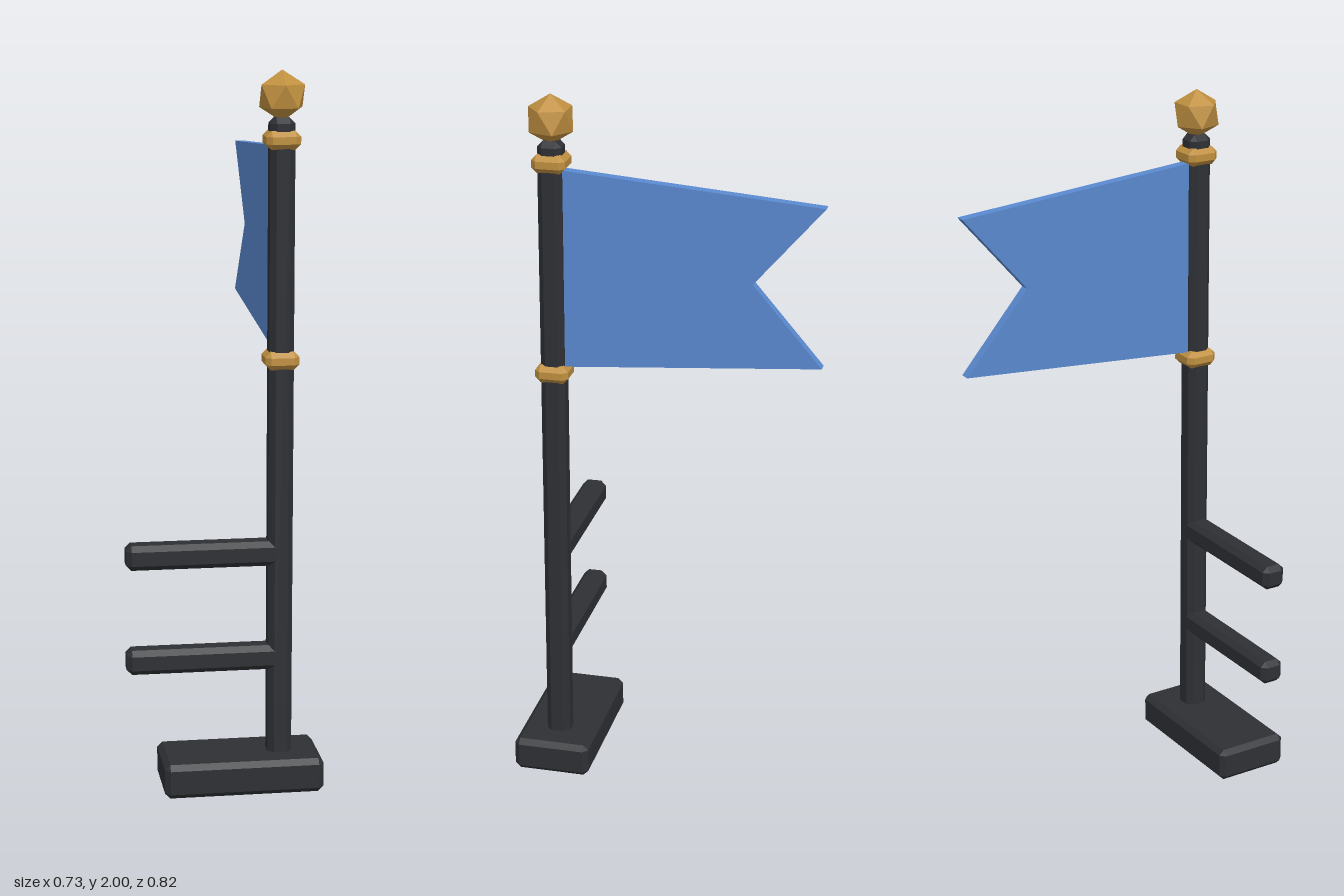
import * as THREE from 'three';
import { ConvexGeometry } from 'three/addons/geometries/ConvexGeometry.js';

const material = (color) => new THREE.MeshStandardMaterial({ color, flatShading: true });

// Box with every edge and corner chamfered by c
function chamferBox(w, h, d, c) {
  const points = [];
  for (const sx of [-1, 1]) for (const sy of [-1, 1]) for (const sz of [-1, 1]) {
    for (const [a, b, e] of [[0, c, c], [c, 0, c], [c, c, 0]]) {
      points.push(new THREE.Vector3(sx * (w / 2 - a), sy * (h / 2 - b), sz * (d / 2 - e)));
    }
  }
  return new ConvexGeometry(points);
}

export function createModel() {
  const model = new THREE.Group();
  model.name = 'flagpole';
  const iron = material(0x2e3034);
  const gold = material(0xc09040);
  const cloth = material(0x5a8ad0);

  const add = (name, geometry, mat, x, y, z) => {
    const mesh = new THREE.Mesh(geometry, mat);
    mesh.name = name;
    mesh.position.set(x, y, z);
    model.add(mesh);
  };

  // Foot, set off to one side of the pole
  add('base', chamferBox(0.447, 0.098, 0.22, 0.015), iron, -0.11, 0.049, 0);

  // Square pole with chamfered edges
  add('pole', chamferBox(0.068, 1.8, 0.068, 0.016), iron, 0, 0.975, 0);

  // Two pegs sticking out over the foot
  for (const y of [0.375, 0.675]) {
    add('peg', chamferBox(0.43, 0.07, 0.07, 0.015), iron, -0.215, y, 0);
  }

  // Collars above and below the flag
  for (const y of [1.218, 1.815]) {
    add('collar', chamferBox(0.094, 0.05, 0.094, 0.015), gold, 0, y, 0);
  }

  // Faceted finial standing on a vertex
  const finial = new THREE.IcosahedronGeometry(0.069, 0);
  finial.rotateX(-Math.atan((1 + Math.sqrt(5)) / 2));
  add('finial', finial, gold, 0, 1.931, 0);

  // Swallow-tailed flag, tapering away from the pole
  const outline = new THREE.Shape([
    [0.02, -0.28], [0.747, -0.223], [0.555, 0], [0.747, 0.223], [0.02, 0.28],
  ].map(([x, y]) => new THREE.Vector2(x, y)));
  const flag = new THREE.ExtrudeGeometry(outline, { depth: 0.03, bevelEnabled: false });
  flag.translate(0, 0, -0.015);
  flag.rotateY(Math.PI / 2); // fly along -z
  add('flag', flag, cloth, 0, 1.517, 0);

  model.rotation.y = THREE.MathUtils.degToRad(-25);
  model.position.set(0.033, 0, 0.268);

  const root = new THREE.Group();
  root.name = 'flagStand';
  root.add(model);
  return root;
}
